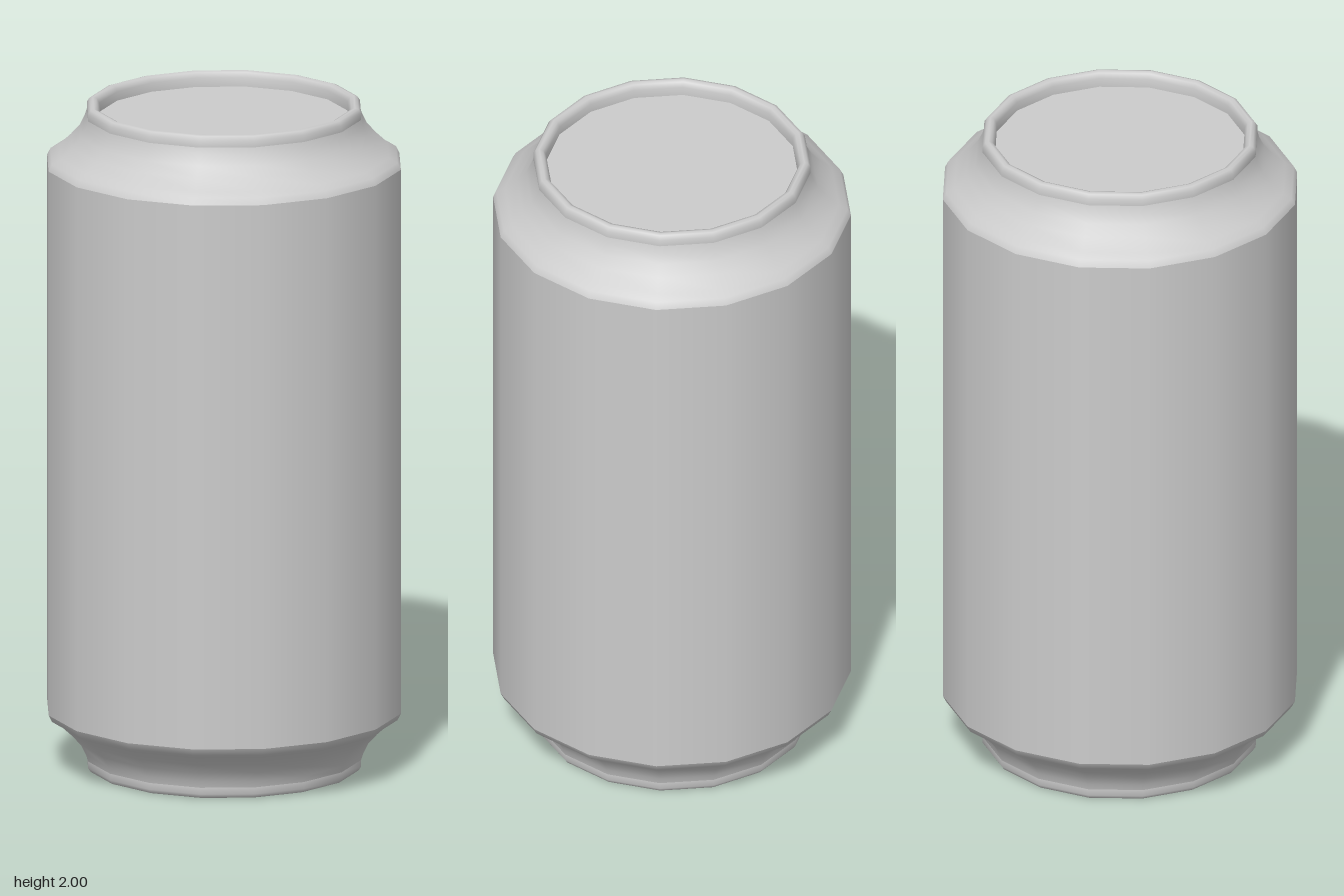
import * as THREE from 'three';

const SIDES = 16;
const HEIGHT = 2;
const BODY_RADIUS = 0.525;
const RIM_INNER = 0.37;
const RECESS = 0.045;

// Upper-half profiles as [radius, y], running upward along the outside
const SHOULDER = [
  [BODY_RADIUS, 1.82], [0.515, 1.84], [0.49, 1.853], [0.455, 1.885],
  [0.428, 1.915], [0.413, 1.945], [0.407, 1.965],
];
const RIM = [
  [0.407, 1.965], [0.407, 1.985], [0.399, 1.997], [0.389, 2.0],
  [0.378, 1.996], [RIM_INNER, 1.982], [RIM_INNER, HEIGHT - RECESS],
];

export function createModel() {
  const model = new THREE.Group();
  model.name = 'drinkCan';
  const material = new THREE.MeshStandardMaterial({ color: 0xcccccc });

  const add = (name, geometry) => {
    const mesh = new THREE.Mesh(geometry, material);
    mesh.name = name;
    model.add(mesh);
    return mesh;
  };
  const lathe = (points) =>
    new THREE.LatheGeometry(points.map(([r, y]) => new THREE.Vector2(r, y)), SIDES);
  // Mirrored about mid height, reversed so that faces still point outward
  const flip = (points) => points.map(([r, y]) => [r, HEIGHT - y]).reverse();

  // Straight wall
  add('body', lathe([[BODY_RADIUS, 0.18], [BODY_RADIUS, 1.82]]));

  // Necked ends with rolled rims
  add('topShoulder', lathe(SHOULDER));
  add('topRim', lathe(RIM));
  add('bottomShoulder', lathe(flip(SHOULDER)));
  add('bottomRim', lathe(flip(RIM)));

  // Recessed flat ends
  const lid = add('lid', new THREE.CircleGeometry(RIM_INNER, SIDES).rotateX(-Math.PI / 2));
  lid.position.y = HEIGHT - RECESS;
  const base = add('base', new THREE.CircleGeometry(RIM_INNER, SIDES).rotateX(Math.PI / 2));
  base.position.y = RECESS;

  return model;
}
